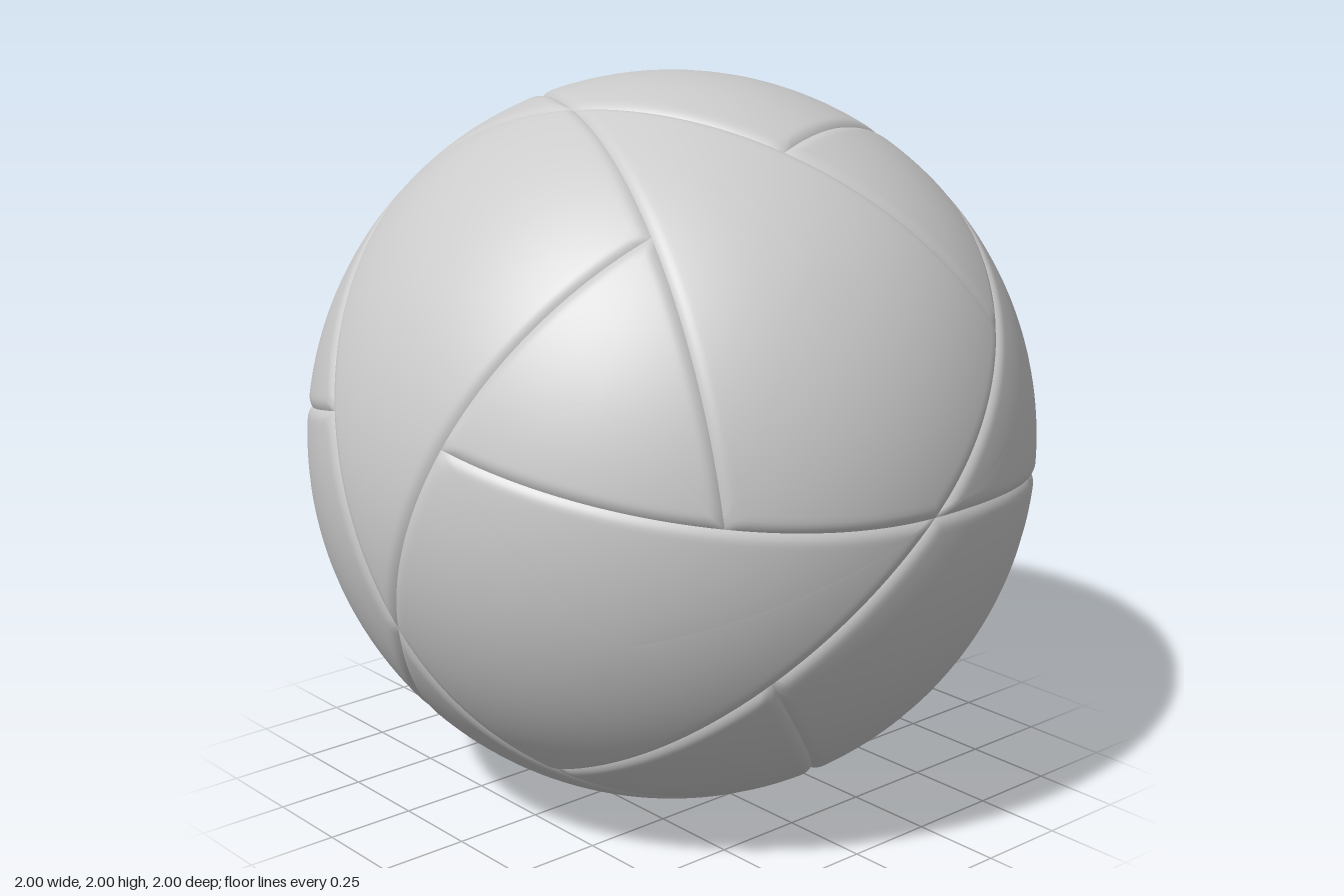
import * as THREE from 'three';

const V = (x, y, z) => new THREE.Vector3(x, y, z);
const STEPS = 24;          // samples per seam piece
const RINGS = 20;          // rings from panel edge to panel centre
const GROOVE_WIDTH = 0.03; // rounded edge on each side of a seam
const GROOVE_DEPTH = 0.011;

// One seam arm: a circle on the sphere from a crossing, past one junction, to the next
const CROSS = V(0, 0, 1);
const NEAR = V(0.235, 0.505, 0.83).normalize();
const FAR = V(NEAR.y, NEAR.z, NEAR.x);
const NORMAL = NEAR.clone().sub(CROSS).cross(FAR.clone().sub(CROSS)).normalize();
const OFFSET = NORMAL.dot(CROSS);

// Cyclic turn of the axes, then mirroring
function place(v, turn, signs) {
  const p = v.toArray();
  return V(p[turn % 3], p[(turn + 1) % 3], p[(turn + 2) % 3]).multiply(signs);
}

// Points along the arm from a up to, but not including, b
function seam(a, b, turn, signs) {
  const c = NORMAL.clone().multiplyScalar(OFFSET);
  const u = a.clone().sub(c), v = b.clone().sub(c);
  const angle = Math.atan2(NORMAL.dot(u.clone().cross(v)), u.dot(v));
  return Array.from({ length: STEPS }, (_, i) =>
    place(a.clone().applyAxisAngle(NORMAL, (angle * i) / STEPS), turn, signs));
}

// Panel: rings shrinking from the outline to its centre, sinking near the seams
function panel(name, loop, arms, material) {
  const planes = arms.map(([turn, signs]) => place(NORMAL, turn, signs));
  const centre = loop.reduce((s, p) => s.add(p), V(0, 0, 0)).normalize();
  const area = V(0, 0, 0);
  loop.forEach((p, i) => area.add(p.clone().cross(loop[(i + 1) % loop.length])));
  if (area.dot(centre) < 0) loop.reverse();

  const pos = [], index = [], n = loop.length;
  const add = (p) => {
    const d = Math.min(...planes.map((m) => Math.abs(m.dot(p) - OFFSET)));
    const s = Math.max(0, 1 - d / GROOVE_WIDTH);
    const r = 1 - GROOVE_DEPTH * s * s;
    pos.push(p.x * r, p.y * r, p.z * r);
  };
  for (let k = 0; k < RINGS; k++) {
    const t = Math.pow(k / RINGS, 2.2);
    loop.forEach((p) => add(p.clone().lerp(centre, t).normalize()));
  }
  add(centre);
  for (let k = 0; k < RINGS; k++) {
    for (let i = 0; i < n; i++) {
      const j = (i + 1) % n, a = k * n + i, b = k * n + j;
      if (k === RINGS - 1) index.push(a, b, RINGS * n);
      else index.push(a, b, b + n, a, b + n, a + n);
    }
  }
  const geometry = new THREE.BufferGeometry();
  geometry.setAttribute('position', new THREE.Float32BufferAttribute(pos, 3));
  geometry.setIndex(index);
  geometry.computeVertexNormals();
  const mesh = new THREE.Mesh(geometry, material);
  mesh.name = name;
  return mesh;
}

export function createModel() {
  const material = new THREE.MeshStandardMaterial({ color: 0xcccccc });
  const ball = new THREE.Group();
  ball.name = 'ball';

  // Eight small triangular panels, one per octant
  for (const x of [1, -1]) for (const y of [1, -1]) for (const z of [1, -1]) {
    const signs = V(x, y, z);
    const arms = [0, 1, 2].map((turn) => [turn, signs]);
    const loop = arms.flatMap(([turn, s]) => seam(NEAR, FAR, turn, s));
    ball.add(panel('trianglePanel', loop, arms, material));
  }

  // Twelve large kite panels, two from each crossing
  for (let turn = 0; turn < 3; turn++) for (const y of [1, -1]) for (const z of [1, -1]) {
    const right = place(V(1, y, z), turn, V(1, 1, 1));
    const left = place(V(-1, y, z), turn, V(1, 1, 1));
    const next = turn + 1;
    const loop = [
      ...seam(CROSS, NEAR, turn, right), ...seam(NEAR, FAR, turn, right),
      ...seam(NEAR, CROSS, next, right), ...seam(CROSS, NEAR, next, left),
      ...seam(FAR, NEAR, turn, left), ...seam(NEAR, CROSS, turn, left),
    ];
    const arms = [[turn, right], [next, right], [turn, left], [next, left]];
    ball.add(panel('kitePanel', loop, arms, material));
  }

  // Tilted, standing on the ground
  ball.rotation.x = THREE.MathUtils.degToRad(20);
  ball.position.y = 1;
  const model = new THREE.Group();
  model.name = 'panelledBall';
  model.add(ball);
  return model;
}
